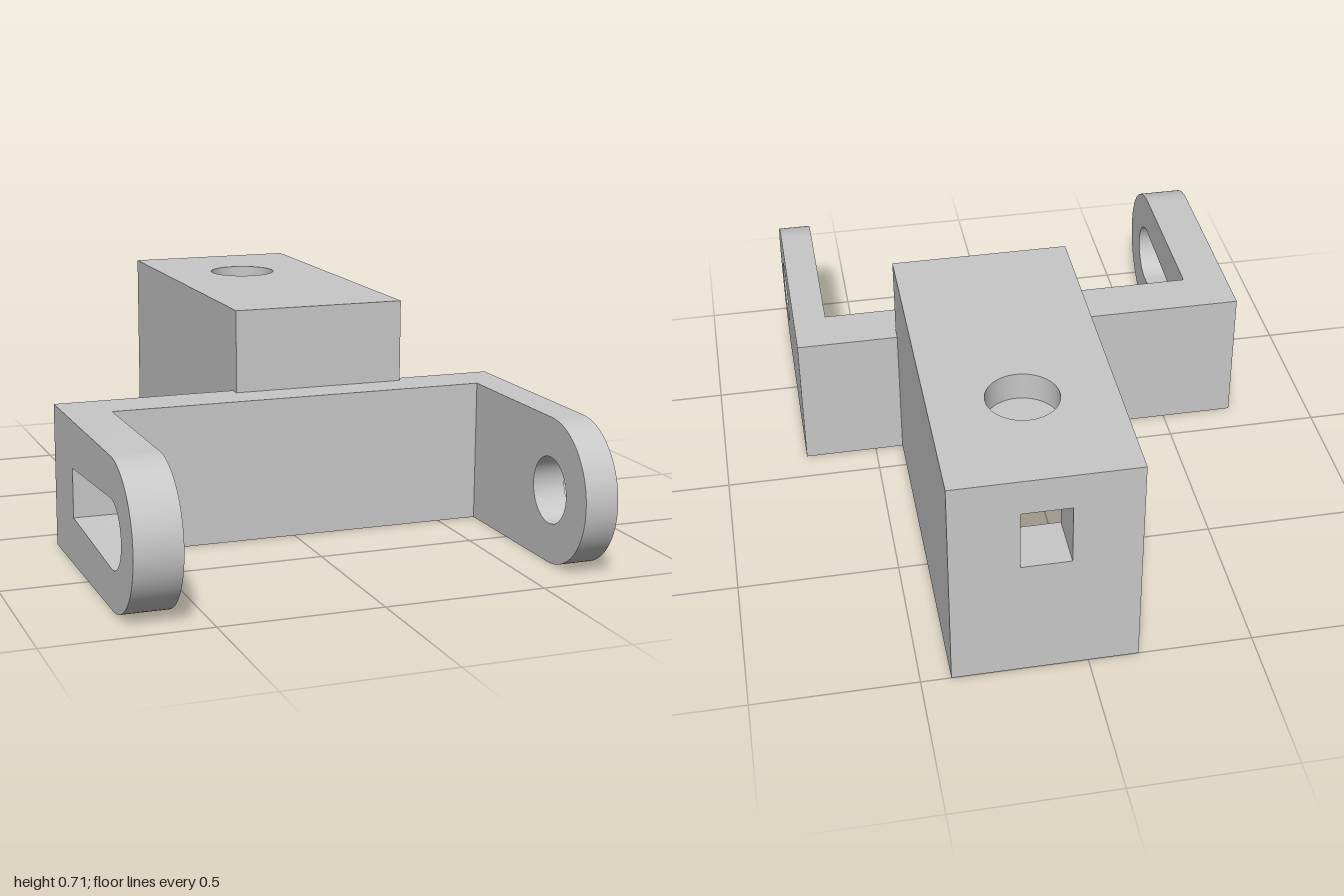
import * as THREE from 'three';
import { toCreasedNormals } from 'three/addons/utils/BufferGeometryUtils.js';

const grey = new THREE.MeshStandardMaterial({ color: 0xc8c8c8 });
grey.name = 'grey';

function add(group, name, geometry) {
  const mesh = new THREE.Mesh(geometry, grey);
  mesh.name = name;
  group.add(mesh);
}

// axis-aligned block from its limits
function block(x0, x1, y0, y1, z0, z1) {
  return new THREE.BoxGeometry(x1 - x0, y1 - y0, z1 - z0)
    .translate((x0 + x1) / 2, (y0 + y1) / 2, (z0 + z1) / 2);
}

const extrude = (shape, depth) => new THREE.ExtrudeGeometry(shape, { depth, bevelEnabled: false, curveSegments: 32 });
const smooth = (geometry) => toCreasedNormals(geometry, 0.6);

// closed outline from [x, z] points; z is flipped so the layer can be laid flat
function outline(points, Type = THREE.Shape) {
  return new Type(points.map(([x, z]) => new THREE.Vector2(x, -z)));
}
// corners run counter-clockwise once z is flipped
const rect = (x0, x1, z0, z1, Type) => outline([[x0, z0], [x0, z1], [x1, z1], [x1, z0]], Type);
const circle = (a, b, r) => new THREE.Path().absarc(a, b, r, 0, Math.PI * 2, true);

// horizontal slice of the housing between two heights
function layer(shape, y0, y1) {
  return smooth(extrude(shape, y1 - y0).rotateX(-Math.PI / 2).translate(0, y0, 0));
}

// side arm with a rounded end; drawn in z and y, extruded across x
const AXLE_Z = 0.775, AXLE_Y = 0.225, HOLE_R = 0.103, BAR_Z = 0.263;
function arm(x0, x1, hole) {
  const s = new THREE.Shape();
  s.moveTo(BAR_Z, 0);
  s.lineTo(AXLE_Z, 0);
  s.absarc(AXLE_Z, AXLE_Y, 0.225, -Math.PI / 2, Math.PI / 2, false);
  s.lineTo(BAR_Z, 0.45);
  s.closePath();
  s.holes.push(hole);
  return smooth(extrude(s, x1 - x0).rotateY(-Math.PI / 2).translate(x1, 0, 0));
}

export function createModel() {
  const model = new THREE.Group();
  model.name = 'bracket';

  // fork: crossbar and two arms of different thickness
  const fork = new THREE.Group();
  fork.name = 'fork';
  model.add(fork);
  add(fork, 'crossbar', block(-0.733, 0.733, 0, 0.45, 0.104, BAR_Z));
  add(fork, 'leftArm', arm(0.628, 0.733, circle(AXLE_Z, AXLE_Y, HOLE_R)));

  // tapered slot, round at the front and flat at the back
  const slot = new THREE.Path();
  slot.moveTo(0.33, 0.148);
  slot.lineTo(0.33, 0.302);
  slot.lineTo(AXLE_Z, AXLE_Y + HOLE_R);
  slot.absarc(AXLE_Z, AXLE_Y, HOLE_R, Math.PI / 2, -Math.PI / 2, true);
  slot.closePath();
  add(fork, 'rightArm', arm(-0.733, -0.59, slot));

  // housing: hollow box, open below, stacked from slices
  const housing = new THREE.Group();
  housing.name = 'housing';
  model.add(housing);
  const [X0, X1, Z0, Z1, TOP] = [-0.152, 0.409, -1, 0.104, 0.713];
  const [CX0, CX1, CZ0, CZ1] = [-0.097, 0.353, -0.83, -0.027];
  const MID = 0.128;
  const ring = () => {
    const s = rect(X0, X1, Z0, Z1);
    s.holes.push(rect(CX0, CX1, CZ0, CZ1, THREE.Path));
    return s;
  };

  // base slice with two blind screw holes
  const base = ring();
  for (const z of [-0.913, 0.053]) base.holes.push(circle(MID, -z, 0.032));
  add(housing, 'housingBase', layer(base, 0, 0.25));
  add(housing, 'housingWalls', layer(ring(), 0.25, 0.4));

  // slice cut through at the back by the square window
  const W0 = MID - 0.075, W1 = MID + 0.075;
  const cut = outline([
    [W0, Z0], [X0, Z0], [X0, Z1], [X1, Z1], [X1, Z0], [W1, Z0],
    [W1, CZ0], [CX1, CZ0], [CX1, CZ1], [CX0, CZ1], [CX0, CZ0], [W0, CZ0],
  ]);
  add(housing, 'windowWalls', layer(cut, 0.4, 0.597));

  // solid ceiling, which is also the floor of the round recess
  add(housing, 'ceiling', block(X0, X1, 0.597, 0.625, Z0, Z1));

  // lid with a round recess
  const lid = rect(X0, X1, Z0, Z1);
  lid.holes.push(circle(MID, 0.625, 0.11));
  add(housing, 'housingLid', layer(lid, 0.625, TOP));

  // lip resting on the crossbar
  add(housing, 'frontLip', block(X0, X1, 0.45, TOP, Z1, 0.14));

  return model;
}
